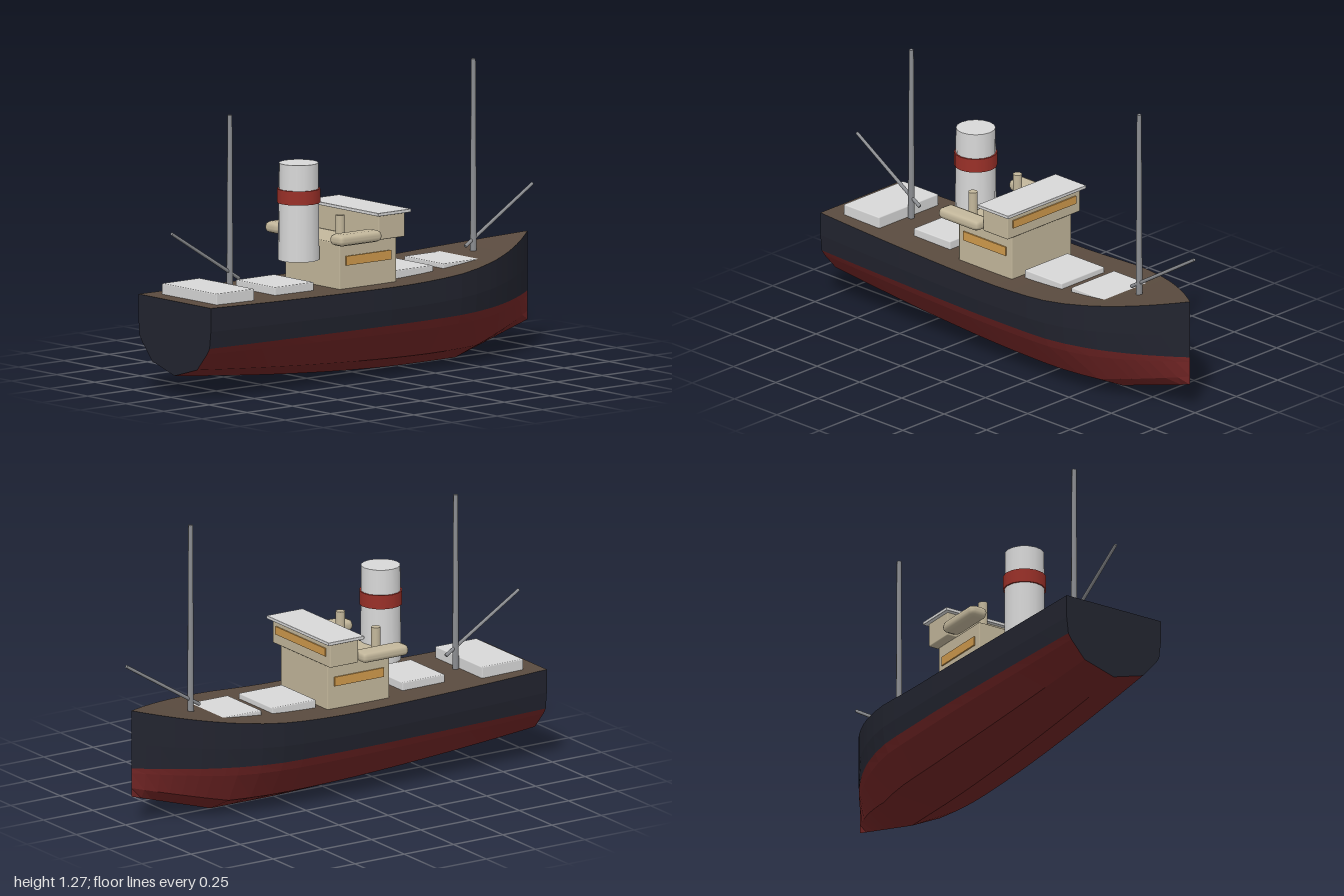
import * as THREE from 'three';
import { RoundedBoxGeometry } from 'three/addons/geometries/RoundedBoxGeometry.js';

const STERN = 0.98, BOW = -0.97, KNUCKLE = -0.57;

// Hull lines as functions of z (bow towards -z)
const halfWidth = z => z > 0 ? 0.28 - 0.042 * (z / STERN) ** 1.3
  : z > -0.3 ? 0.28 : 0.28 * (1 - ((-z - 0.3) / 0.67) ** 1.9);
const keelY = z => z > -0.3 ? 0.09 * ((z + 0.3) / 1.28) ** 1.6
  : z > KNUCKLE ? 0 : 0.12 * (KNUCKLE - z) / (KNUCKLE - BOW);
const deckY = z => z > 0 ? 0.4 + 0.01 * (z / STERN) ** 2 : 0.4 + 0.1 * (z / BOW) ** 2;

// Half cross-section from keel to deck edge
function halfSection(z) {
  const w = Math.max(halfWidth(z), 0), k = keelY(z), d = deckY(z);
  const wl = 0.235 + (z < 0 ? 0.01 * (z / BOW) ** 2 : 0);
  return [
    [0, k], [0.62 * w, k + 0.3 * (wl - k)], [0.9 * w, k + 0.83 * (wl - k)],
    [0.965 * w, wl], [w, wl + 0.42 * (d - wl)], [w, d],
  ].map(([x, y]) => new THREE.Vector3(x, y, z));
}
const mirror = p => new THREE.Vector3(-p.x, p.y, p.z);

// Skin a list of cross-sections
function loft(rows) {
  const pos = [], index = [], n = rows[0].length;
  rows.forEach((row, i) => row.forEach((p, j) => {
    pos.push(p.x, p.y, p.z);
    if (i + 1 < rows.length && j + 1 < n) {
      const a = i * n + j, b = a + n;
      index.push(a, b, a + 1, b, b + 1, a + 1);
    }
  }));
  let g = new THREE.BufferGeometry();
  g.setAttribute('position', new THREE.Float32BufferAttribute(pos, 3));
  g.setIndex(index);
  g = g.toNonIndexed();
  g.computeVertexNormals();
  return g;
}

export function createModel() {
  const ship = new THREE.Group();
  ship.name = 'cargoShip';
  const material = (name, color) => {
    const m = new THREE.MeshStandardMaterial({ color });
    m.name = name;
    return m;
  };
  const navy = material('navyPaint', 0x22242f);
  const red = material('bottomRed', 0x702424);
  const brown = material('deckBrown', 0x5a4b3f);
  const white = material('lightGrey', 0xd8d8d8);
  const tan = material('buffPaint', 0xc4b89c);
  const grey = material('mastGrey', 0x8c8e92);
  const orange = material('windowAmber', 0xd09a4c);
  const bandRed = material('funnelRed', 0x9a3028);

  const add = (name, geometry, mat, x = 0, y = 0, z = 0) => {
    const m = new THREE.Mesh(geometry, mat);
    m.name = name;
    m.position.set(x, y, z);
    ship.add(m);
    return m;
  };
  // Block given by its half width and its y and z ranges, with a small bevel
  const block = (name, mat, hw, y0, y1, z0, z1, bevel = 0.005) =>
    add(name, new RoundedBoxGeometry(hw * 2, y1 - y0, z1 - z0, 1, bevel), mat,
      0, (y0 + y1) / 2, (z0 + z1) / 2);

  // Hull
  const stations = [];
  for (let i = 0; i <= 16; i++) stations.push(STERN + (KNUCKLE - STERN) * i / 16);
  for (let i = 1; i <= 8; i++) stations.push(KNUCKLE + (BOW - KNUCKLE) * i / 8);
  const sections = stations.map(halfSection);
  add('hullBottom', loft(sections.map(s =>
    [...s.slice(1, 4).reverse().map(mirror), ...s.slice(0, 4)])), red);
  add('leftTopside', loft(sections.map(s => s.slice(3))), navy);
  add('rightTopside', loft(sections.map(s => s.slice(3).reverse().map(mirror))), navy);
  add('deck', loft(sections.map(s => [s[5], mirror(s[5])])), brown);
  const end = sections[0];
  const outline = [...end.slice(1).reverse().map(mirror), ...end];
  add('transom', new THREE.ShapeGeometry(
    new THREE.Shape(outline.map(p => new THREE.Vector2(p.x, p.y)))), navy, 0, 0, STERN);

  // Cargo hatches
  block('aftHatch', white, 0.18, 0.395, 0.455, 0.69, 0.9);
  block('midHatch', white, 0.13, 0.39, 0.437, 0.32, 0.535);
  block('foreHatch', white, 0.13, 0.39, 0.437, -0.34, -0.12);
  block('bowHatch', white, 0.13, 0.39, 0.437, -0.61, -0.395);

  // Deckhouse, wheelhouse and windows
  block('deckhouse', tan, 0.18, 0.39, 0.597, -0.095, 0.22);
  block('wheelhouse', tan, 0.22, 0.597, 0.705, -0.108, 0.037);
  block('wheelhouseRoof', white, 0.237, 0.702, 0.716, -0.127, 0.055, 0.002);
  add('wheelhouseWindow', new THREE.BoxGeometry(0.38, 0.035, 0.008), orange, 0, 0.66, -0.11);
  for (const s of [-1, 1]) {
    add('deckhouseWindow', new THREE.BoxGeometry(0.009, 0.04, 0.25), orange, s * 0.182, 0.52, 0.063);
    // Lifeboats and ventilators
    add('lifeboat', new RoundedBoxGeometry(0.085, 0.05, 0.235, 1, 0.022), tan, s * 0.213, 0.62, 0.158);
    add('ventilator', new THREE.CylinderGeometry(0.02, 0.02, 0.12, 12), tan, s * 0.135, 0.65, 0.18);
  }

  // Funnel with band
  add('funnel', new THREE.CylinderGeometry(0.084, 0.088, 0.415, 16), white, 0, 0.7225, 0.295);
  add('funnelBand', new THREE.CylinderGeometry(0.092, 0.092, 0.06, 16), bandRed, 0, 0.79, 0.295);

  // Masts and cargo booms
  const spar = (name, from, to, r0, r1) => {
    const dir = to.clone().sub(from);
    const m = add(name, new THREE.CylinderGeometry(r1, r0, dir.length(), 8), grey);
    m.position.copy(from).add(to).multiplyScalar(0.5);
    m.quaternion.setFromUnitVectors(new THREE.Vector3(0, 1, 0), dir.normalize());
  };
  const at = (y, z) => new THREE.Vector3(0, y, z);
  spar('foreMast', at(0.42, -0.67), at(1.27, -0.67), 0.014, 0.01);
  spar('aftMast', at(0.4, 0.675), at(1.175, 0.675), 0.014, 0.01);
  spar('foreBoom', at(0.47, -0.625), at(0.7, -0.996), 0.008, 0.007);
  spar('aftBoom', at(0.47, 0.625), at(0.7, 0.996), 0.008, 0.007);

  return ship;
}
